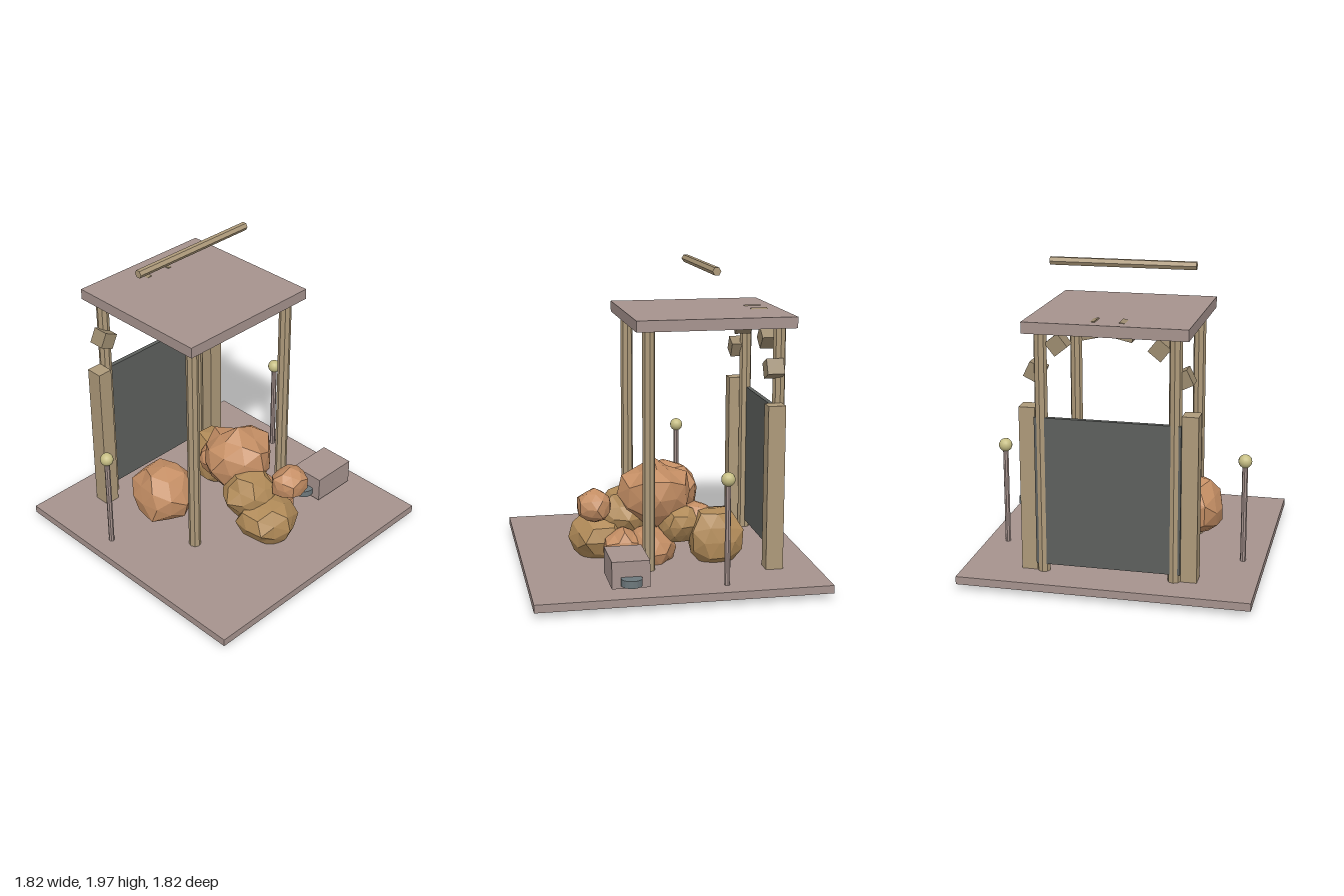
import * as THREE from 'three';

const mat = (color, flat = true) => new THREE.MeshStandardMaterial({ color, flatShading: flat });

export function createModel() {
  const model = new THREE.Group();
  const stone = mat(0xa6938e), wood = mat(0xae9a7a), block = mat(0x9c8b6f);
  const slate = mat(0x5d605d), iron = mat(0x6d787c), glow = mat(0xc6be84, false);
  const clay = mat(0xc48e64), ochre = mat(0xb08a58);

  const add = (name, geometry, material, x, y, z) => {
    const mesh = new THREE.Mesh(geometry, material);
    mesh.name = name;
    mesh.position.set(x, y, z);
    model.add(mesh);
    return mesh;
  };
  const box = (name, w, h, d, material, x, y, z) =>
    add(name, new THREE.BoxGeometry(w, h, d), material, x, y, z);
  const rod = (name, r, h, sides, material, x, y, z) =>
    add(name, new THREE.CylinderGeometry(r, r, h, sides), material, x, y, z);

  // Ground slab, canopy and the ridge pole floating above it
  box('base', 1.82, 0.05, 1.82, stone, 0, 0.085, 0);
  box('roof', 1, 0.07, 1, stone, 0, 1.66, -0.27);
  rod('ridgePole', 0.027, 0.91, 6, wood, 0, 1.975, -0.27).rotation.z = Math.PI / 2;

  // Back panel
  box('backPanel', 0.9, 0.94, 0.03, slate, 0, 0.63, -0.695);

  for (const side of [-1, 1]) {
    // Canopy posts
    for (const z of [0.14, -0.68]) rod('post', 0.04, 1.52, 8, wood, side * 0.41, 0.865, z);
    // Arch pillars
    box('pillar', 0.1, 1.05, 0.11, wood, side * 0.5, 0.63, -0.635);
    // Lamps
    rod('lampPole', 0.018, 0.64, 8, stone, side * 0.775, 0.43, -0.275);
    add('lampGlobe', new THREE.SphereGeometry(0.043, 16, 12), glow, side * 0.775, 0.77, -0.275);
    // Flat round ends of the anvil
    rod('anvilEnd', 0.065, 0.045, 16, iron, 0.635 + side * 0.18, 0.182, 0.318);
  }
  box('anvilBody', 0.31, 0.168, 0.232, stone, 0.637, 0.217, 0.318);

  // Arch blocks set at equal angles around the opening
  for (let i = 1; i <= 6; i++) {
    const a = (i * Math.PI) / 7;
    box('archBlock', 0.1, 0.1, 0.108, block,
      Math.cos(a) * 0.5, 1.155 + Math.sin(a) * 0.5, -0.635).rotation.z = a;
  }

  // Rugged boulders: [x, y, z, half width, half height, half depth, material]
  const boulders = [
    [-0.42, 0.40, -0.13, 0.22, 0.21, 0.23, clay],
    [0.08, 0.52, 0.05, 0.25, 0.23, 0.24, clay],
    [0.00, 0.37, 0.23, 0.20, 0.18, 0.19, ochre],
    [0.16, 0.475, 0.445, 0.14, 0.115, 0.12, clay],
    [0.01, 0.23, 0.39, 0.20, 0.18, 0.21, ochre],
    [0.24, 0.25, -0.32, 0.19, 0.21, 0.20, ochre],
    [0.18, 0.34, -0.09, 0.15, 0.14, 0.15, ochre],
    [0.19, 0.18, 0.10, 0.17, 0.16, 0.17, clay],
    [0.20, 0.19, 0.27, 0.14, 0.15, 0.14, clay],
    [0.15, 0.34, -0.22, 0.13, 0.13, 0.13, clay],
  ];
  boulders.forEach(([x, y, z, rx, ry, rz, material], seed) => {
    const geometry = new THREE.IcosahedronGeometry(1, 1);
    const p = geometry.attributes.position;
    const v = new THREE.Vector3();
    for (let i = 0; i < p.count; i++) {
      v.fromBufferAttribute(p, i);
      // Same direction always gives the same bump, so the surface stays closed
      const h = Math.sin(v.x * 7.3 + seed * 2.1) + Math.sin(v.y * 8.7 + seed * 3.7) + Math.sin(v.z * 6.1 + seed);
      v.multiplyScalar(0.94 + 0.05 * h);
      p.setXYZ(i, v.x * rx, v.y * ry, v.z * rz);
    }
    geometry.computeVertexNormals();
    add('boulder', geometry, material, x, y, z);
  });

  // Rest the model on y = 0
  const low = new THREE.Box3().setFromObject(model, true).min.y;
  for (const part of model.children) if (part.name === 'boulder' && low < 0) part.position.y -= low;
  return model;
}
